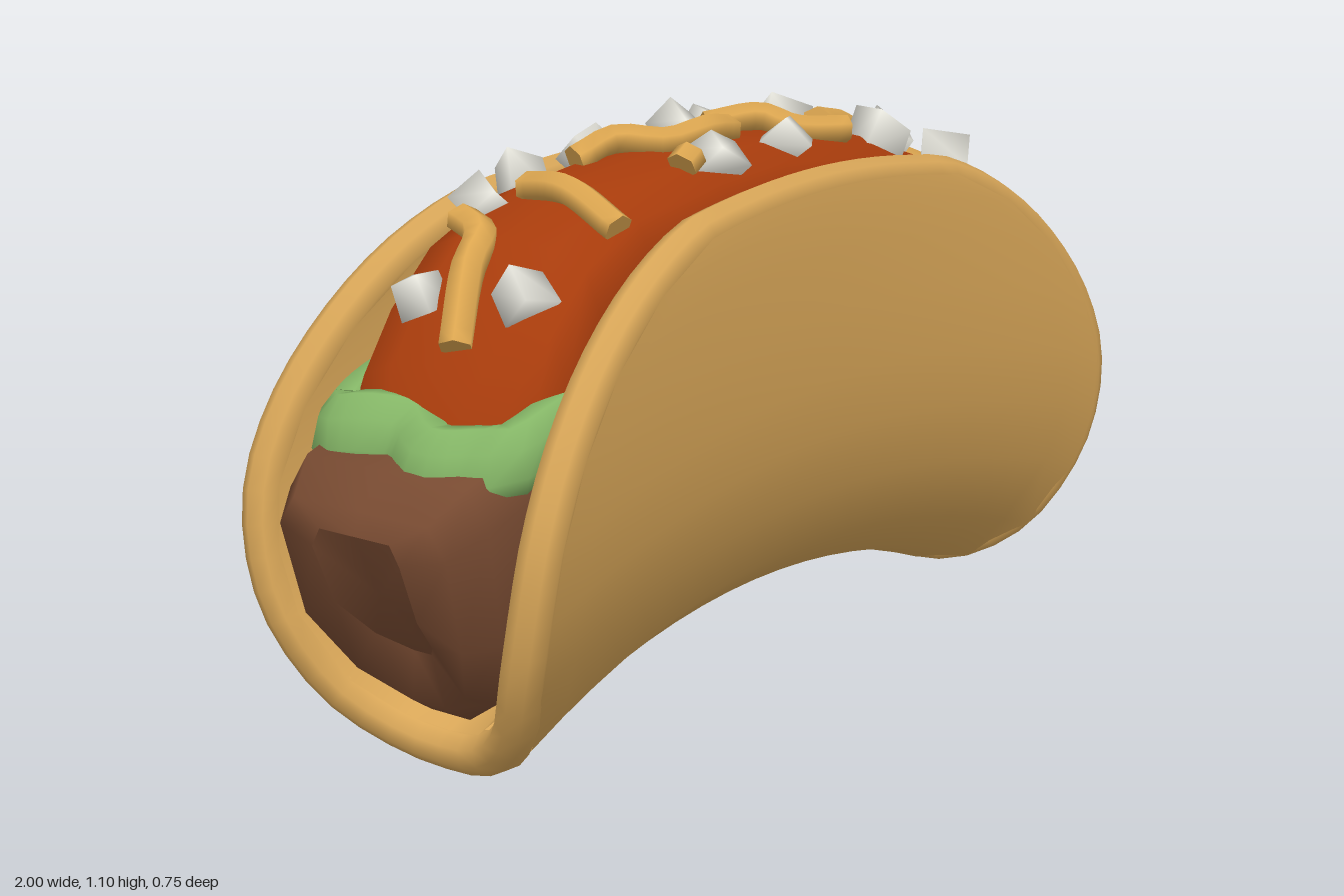
import * as THREE from 'three';
import { mergeVertices } from 'three/addons/utils/BufferGeometryUtils.js';

const mat = (name, color, extra = {}) => {
  const m = new THREE.MeshStandardMaterial({ color, ...extra });
  m.name = name;
  return m;
};

function geometry(pos, idx) {
  const g = new THREE.BufferGeometry();
  g.setAttribute('position', new THREE.Float32BufferAttribute(pos, 3));
  g.setIndex(idx);
  g.computeVertexNormals();
  return g;
}

// Skin over closed rings of points, with flat caps at both ends
function loft(rings) {
  const n = rings[0].length, pos = [], idx = [];
  rings.forEach(r => r.forEach(p => pos.push(p.x, p.y, p.z)));
  for (let i = 0; i < rings.length - 1; i++) {
    for (let j = 0; j < n; j++) {
      const k = (j + 1) % n, a = i * n + j, b = i * n + k;
      idx.push(a, b, a + n, b, b + n, a + n);
    }
  }
  [rings[0], rings[rings.length - 1]].forEach((r, end) => {
    const base = pos.length / 3;
    const c = r.reduce((s, p) => s.add(p), new THREE.Vector3()).divideScalar(n);
    [c, ...r].forEach(p => pos.push(p.x, p.y, p.z));
    for (let j = 0; j < n; j++) {
      const a = base + 1 + j, b = base + 1 + (j + 1) % n;
      idx.push(base, end ? a : b, end ? b : a);
    }
  });
  return geometry(pos, idx);
}

// Capped upright strand along a curve, with its half width and half height
function strand(points, segments, sides, width, height) {
  const curve = new THREE.CatmullRomCurve3(points), up = new THREE.Vector3(0, 1, 0);
  const rings = [];
  for (let i = 0; i <= segments; i++) {
    const p = curve.getPointAt(i / segments), t = curve.getTangentAt(i / segments);
    const side = new THREE.Vector3().crossVectors(up, t).normalize();
    const top = new THREE.Vector3().crossVectors(t, side);
    rings.push(Array.from({ length: sides }, (_, j) => {
      const a = (j + 0.5) / sides * Math.PI * 2;
      return p.clone().addScaledVector(side, width * Math.cos(a))
        .addScaledVector(top, height * Math.sin(a));
    }));
  }
  return loft(rings);
}

// Shell mid-surface rows from the fold to the lip: half width, end y, middle y, z
const ROWS = [
  [0.765, 0.04, 0.19, 0], [0.78, 0.057, 0.205, 0.085], [0.83, 0.13, 0.275, 0.168],
  [0.88, 0.26, 0.385, 0.22], [0.89, 0.38, 0.5, 0.245], [0.872, 0.5, 0.61, 0.257],
  [0.81, 0.63, 0.74, 0.26], [0.705, 0.755, 0.85, 0.258], [0.565, 0.86, 0.92, 0.255],
  [0.4, 0.93, 0.963, 0.25],
];
const M = ROWS.length - 1, N = 18, HALF = 0.04;

function shellPoint(r, i) {
  const [w, yEnd, yMid, z] = ROWS[Math.abs(r)];
  const s = i / N * 2 - 1, x = w * s;
  // both ends flare outwards, a little less at one corner
  const flare = x < 0 && r > 0 ? 0.2 : 0.32;
  return new THREE.Vector3(x, yMid + (yEnd - yMid) * s * s,
    Math.sign(r) * z * (1 + flare * (x / 0.9) ** 2));
}

function shellSheets() {
  const pos = [], idx = [], flip = [];
  for (let r = -M; r <= M; r++)
    for (let i = 0; i <= N; i++) pos.push(...shellPoint(r, i).toArray());
  for (let r = 0; r < 2 * M; r++) {
    for (let i = 0; i < N; i++) {
      const a = r * (N + 1) + i, c = a + N + 1;
      idx.push(a, a + 1, c, a + 1, c + 1, c);
      flip.push(a, c, a + 1, a + 1, c, c + 1);
    }
  }
  const nrm = geometry(pos, idx).attributes.normal.array;
  return [geometry(pos.map((v, k) => v + nrm[k] * HALF), idx),
    geometry(pos.map((v, k) => v - nrm[k] * HALF), flip)];
}

// Sauce mound along x: x, top, half depth
const MOUND = [[-0.84, 0.65, 0.15], [-0.79, 0.74, 0.2], [-0.7, 0.84, 0.218], [-0.6, 0.935, 0.213],
  [-0.45, 1.0, 0.208], [-0.2, 1.03, 0.204], [0, 1.04, 0.202], [0.35, 1.01, 0.206],
  [0.6, 0.93, 0.214], [0.78, 0.8, 0.215], [0.85, 0.69, 0.16]];
function moundY(x, z) {
  let k = 0;
  while (k < MOUND.length - 2 && x > MOUND[k + 1][0]) k++;
  const [a, b] = [MOUND[k], MOUND[k + 1]];
  return a[1] + (b[1] - a[1]) * (x - a[0]) / (b[0] - a[0]) - 1.3 * z * z;
}

export function createModel() {
  const group = new THREE.Group();
  const shellMat = mat('tortilla', 0xd8a658, { side: THREE.DoubleSide });
  const meatMat = mat('meat brown', 0x774a31);
  const sauceMat = mat('sauce red', 0xa83c0c);
  const leafMat = mat('lettuce green', 0x84b566);
  const cheeseMat = mat('cheese', 0xdca650);
  const onionMat = mat('onion white', 0xe6e5dc);
  const add = (name, geo, material) => {
    const mesh = new THREE.Mesh(geo, material);
    mesh.name = name;
    group.add(mesh);
    return mesh;
  };

  // Folded shell with a rounded lip
  const [outer, inner] = shellSheets();
  add('shellOutside', outer, shellMat);
  add('shellInside', inner, shellMat);
  const lip = [];
  for (let r = -M; r < M; r++) lip.push(shellPoint(r, N));
  for (let i = N; i > 0; i -= 2) lip.push(shellPoint(M, i));
  for (let r = M; r > -M; r--) lip.push(shellPoint(r, 0));
  for (let i = 0; i < N; i += 2) lip.push(shellPoint(-M, i));
  add('shellLip', new THREE.TubeGeometry(
    new THREE.CatmullRomCurve3(lip, true), 120, HALF, 8, true), shellMat);

  // Meat filling: x, top, bottom, half depth; the ends slope in towards the bottom
  const meat = [[-1, 0.49, 0.24, 0.1], [-0.985, 0.53, 0.14, 0.19], [-0.92, 0.585, 0.105, 0.228],
    [-0.8, 0.62, 0.14, 0.235], [-0.4, 0.75, 0.25, 0.205], [0, 0.8, 0.32, 0.185],
    [0.4, 0.75, 0.25, 0.205], [0.8, 0.62, 0.14, 0.242], [0.92, 0.57, 0.105, 0.242],
    [0.99, 0.54, 0.14, 0.205], [1, 0.5, 0.24, 0.11]];
  const U = [[1, 0], [1, 0.8], [0.86, 1], [0.42, 0.95], [0.14, 0.66], [0, 0.2],
    [0, -0.2], [0.14, -0.66], [0.42, -0.95], [0.86, -1], [1, -0.8]];
  add('meat', loft(meat.map(([x, top, low, d]) => U.map(([h, z]) =>
    new THREE.Vector3(x * (1 - 0.16 * (1 - h) ** 2.3), low + (top - low) * h, z * d)))), meatMat);

  // Sauce mound
  add('sauce', loft(MOUND.map(([x, top, d]) => {
    const half = [[0, 0], [0.5, 0.01], [0.84, 0.04], [1, 0.12]];
    const right = half.map(([z, drop]) => new THREE.Vector3(x, top - drop, z * d));
    const low = Math.min(0.56, top - 0.13);
    const left = right.slice(1).reverse().map(p => new THREE.Vector3(x, p.y, -p.z));
    return [...right, new THREE.Vector3(x, low, d), new THREE.Vector3(x, low, -d), ...left];
  })), sauceMat);

  // Wavy lettuce leaf curling round each end, leaning inwards at the top
  const leaf = [[0.71, 0.66, -0.205], [0.8, 0.63, -0.205], [0.86, 0.61, -0.185], [0.87, 0.625, -0.11],
    [0.85, 0.62, -0.03], [0.885, 0.595, 0.06], [0.865, 0.6, 0.13], [0.85, 0.61, 0.19],
    [0.8, 0.635, 0.205], [0.71, 0.66, 0.205]];
  for (const side of [-1, 1]) {
    const pts = leaf.map(([x, y, z]) => new THREE.Vector3(side * x + 0.02, y, z));
    const g = strand(pts, 26, 8, 0.045, 0.068), p = g.attributes.position;
    for (let k = 0; k < p.count; k++) p.setX(k, p.getX(k) - side * 0.35 * (p.getY(k) - 0.61));
    g.computeVertexNormals();
    add(side > 0 ? 'leftLettuce' : 'rightLettuce', g, leafMat);
  }

  // Cheese shreds as x, z paths lying on the sauce
  const shreds = [
    [[-0.77, 0.03], [-0.68, -0.02], [-0.61, -0.05], [-0.58, -0.12]],
    [[-0.47, -0.06], [-0.49, 0.05], [-0.5, 0.17]],
    [[-0.29, -0.1], [-0.21, -0.07], [-0.15, 0.01], [-0.08, 0.04], [0.01, 0.03]],
    [[0.07, -0.07], [0.16, 0], [0.19, 0.06], [0.28, 0.12]],
    [[0.35, 0], [0.5, -0.03], [0.57, -0.12], [0.69, -0.17]],
    [[0.63, -0.02], [0.71, 0.04], [0.74, 0.1], [0.75, 0.18]],
    [[-0.24, 0.11], [-0.21, 0.11]],
  ];
  shreds.forEach((path, i) => add('cheeseShred' + (i + 1), strand(path.map(([x, z], k) =>
    new THREE.Vector3(x, moundY(x, z) + 0.012 + (k % 2) * 0.015, z)), 12, 6, 0.032, 0.028), cheeseMat));

  // Diced onion: irregular tumbled cubes with softened shading
  let seed = 7;
  const rnd = () => (seed = (seed * 16807) % 2147483647) / 2147483647;
  const dice = [[-0.7, -0.11], [-0.51, -0.13], [-0.38, -0.15], [-0.18, -0.15], [-0.02, -0.07],
    [0.14, -0.12], [0.39, -0.12], [0.77, -0.1], [0.8, 0.03], [0.56, 0.03], [0.4, 0.11],
    [0.57, 0.16], [0.08, 0.12], [-0.15, 0.12], [-0.68, 0.11]];
  dice.forEach(([x, z], i) => {
    const s = x > 0.3 ? 0.09 : 0.074;
    const box = new THREE.BoxGeometry(s, s, s);
    box.deleteAttribute('normal');
    box.deleteAttribute('uv');
    const g = mergeVertices(box), p = g.attributes.position;
    for (let k = 0; k < p.count; k++) {
      const f = 0.8 + 0.3 * rnd();
      p.setXYZ(k, p.getX(k) * f, p.getY(k) * f, p.getZ(k) * f);
    }
    g.computeVertexNormals();
    const cube = add('onion' + (i + 1), g, onionMat);
    cube.position.set(x, moundY(x, z) + 0.012, z);
    cube.rotation.set(rnd() * 0.8, rnd() * 3, rnd() * 0.8);
  });
  return group;
}
